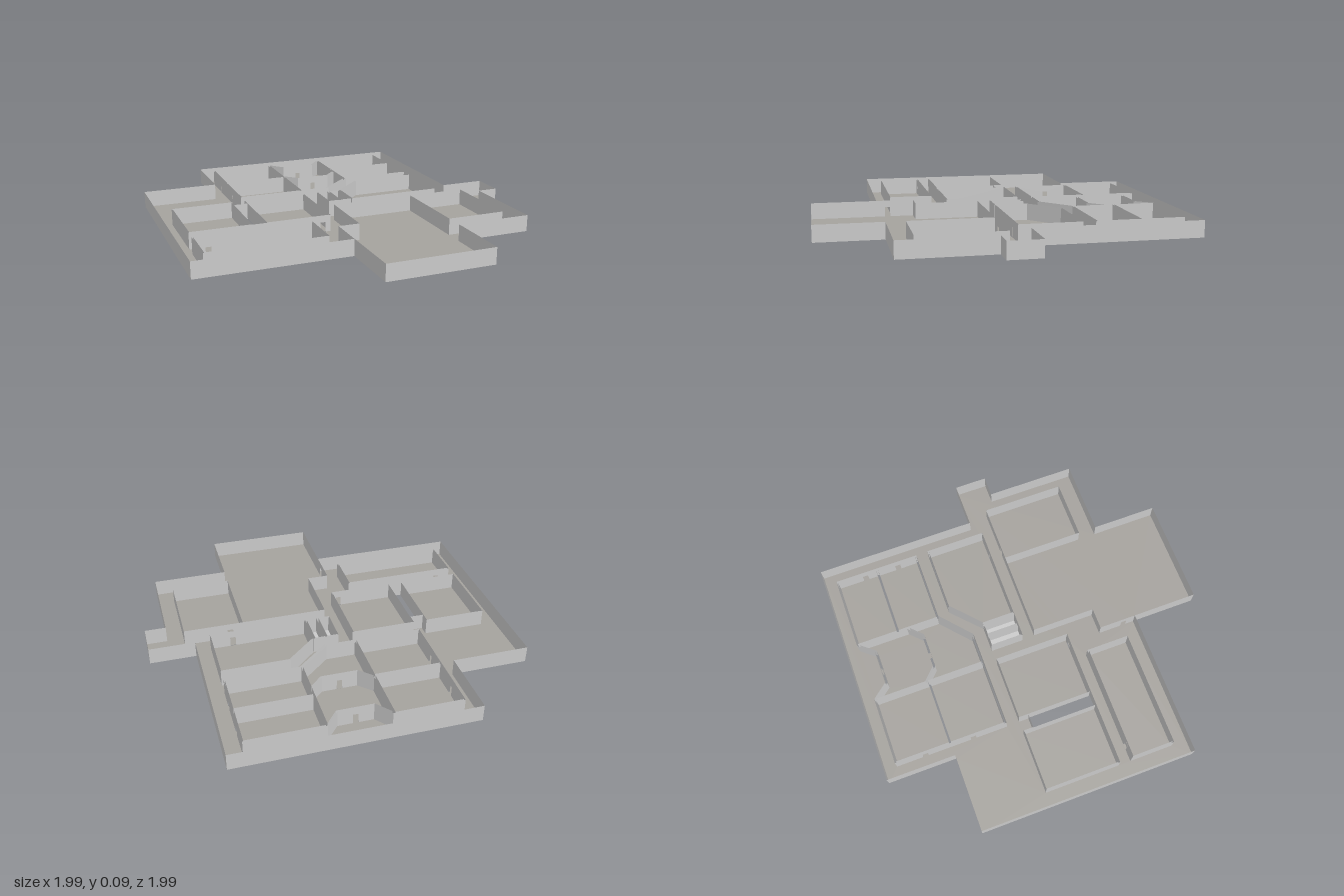
import * as THREE from 'three';
import { mergeGeometries } from 'three/addons/utils/BufferGeometryUtils.js';

const H = 0.093, DOOR_W = 0.032, DOOR_H = 0.055;

// Door centres [x, z, runs along z]
const DOORS = [
  [0.055, -0.838, 0], [0.055, -0.555, 0], [-0.489, -0.76, 1], [-0.489, -0.48, 1],
  [0.643, -0.76, 1], [0.643, -0.56, 1], [-0.83, 0.294, 0], [0.52, -0.025, 0],
  [0.52, 0.05, 0], [-0.17, 0.215, 0], [-0.157, 0.56, 1],
];

const rect = (x0, z0, x1, z1) => [[x0, z0], [x1, z0], [x1, z1], [x0, z1]];

// Outer edge of the whole floor plan
const OUTLINE = [
  [-0.565, -0.997], [0.737, -0.997], [0.737, -0.07], [0.992, -0.07], [0.992, 0.115],
  [0.875, 0.115], [0.875, 0.625], [0.447, 0.625], [0.447, 0.997], [-0.157, 0.997],
  [-0.157, 0.625], [-0.997, 0.625], [-0.997, -0.608], [-0.565, -0.608],
];

// Each block is a ring of outer wall faces with rooms inside; the gaps between are hollow walls
const BLOCKS = [
  {
    name: 'backRooms',
    outer: [[-0.493, -0.928], [-0.11, -0.928], [-0.04, -0.843], [0.152, -0.843], [0.224, -0.928],
      [0.646, -0.928], [0.646, -0.438], [0.238, -0.438], [0.06, -0.284], [-0.493, -0.284]],
    rooms: [
      rect(-0.486, -0.921, -0.122, -0.617), rect(-0.486, -0.606, -0.122, -0.294),
      rect(0.233, -0.921, 0.64, -0.69), rect(0.233, -0.678, 0.64, -0.447),
      [[-0.111, -0.912], [-0.045, -0.832], [0.157, -0.832], [0.223, -0.912],
        [0.223, -0.63], [0.152, -0.561], [-0.04, -0.561], [-0.111, -0.63]],
      [[-0.111, -0.614], [-0.045, -0.549], [0.157, -0.549], [0.223, -0.614],
        [0.223, -0.446], [0.052, -0.296], [-0.111, -0.296]],
    ],
  },
  {
    name: 'leftRooms',
    outer: [[-0.914, -0.211], [-0.567, -0.211], [-0.567, -0.155], [-0.491, -0.155],
      [-0.491, -0.211], [-0.126, -0.211], [-0.126, 0.218], [-0.914, 0.218]],
    rooms: [rect(-0.909, -0.208, -0.57, 0.212), rect(-0.488, -0.208, -0.132, 0.212)],
  },
  {
    name: 'longRoom',
    outer: rect(-0.914, 0.289, -0.257, 0.537),
    rooms: [rect(-0.907, 0.298, -0.265, 0.533)],
  },
  {
    name: 'cornerRoom',
    outer: [[0.27, -0.368], [0.648, -0.368], [0.648, -0.023], [0.103, -0.023], [0.103, -0.213]],
    rooms: [[[0.275, -0.36], [0.645, -0.36], [0.645, -0.027], [0.108, -0.027], [0.108, -0.209]]],
  },
  {
    name: 'shafts',
    outer: rect(-0.042, -0.212, 0.098, -0.022),
    rooms: [rect(-0.037, -0.207, 0.021, -0.027), rect(0.035, -0.207, 0.09, -0.027)],
    pale: true,
  },
];

export function createModel() {
  const group = new THREE.Group();
  const wallMat = new THREE.MeshStandardMaterial({ color: 0xcacaca, side: THREE.DoubleSide });
  wallMat.name = 'paleGreyWall';
  const floorMat = new THREE.MeshStandardMaterial({ color: 0xa5a29d, side: THREE.DoubleSide });
  floorMat.name = 'warmGreyFloor';

  const add = (name, geo, mat) => {
    const mesh = new THREE.Mesh(geo, mat);
    mesh.name = name;
    group.add(mesh);
  };

  // Flat floor from a plan polygon with optional holes
  const floor = (pts, holes = []) => {
    const to2 = (list) => list.map(([x, z]) => new THREE.Vector2(x, -z));
    const shape = new THREE.Shape(to2(pts));
    shape.holes = holes.map((h) => new THREE.Path(to2(h)));
    return new THREE.ShapeGeometry(shape).rotateX(-Math.PI / 2);
  };

  // One upright wall face between two plan points, with door openings cut out
  const wallFace = ([x0, z0], [x1, z1]) => {
    const len = Math.hypot(x1 - x0, z1 - z0);
    const dx = (x1 - x0) / len, dz = (z1 - z0) / len;
    const cuts = DOORS.map(([x, z]) => ({
      along: (x - x0) * dx + (z - z0) * dz,
      off: Math.abs((x - x0) * dz - (z - z0) * dx),
    })).filter((c) => c.off < 0.01 && c.along > DOOR_W && c.along < len - DOOR_W)
      .sort((a, b) => a.along - b.along);
    const s = new THREE.Shape();
    s.moveTo(0, 0);
    for (const { along } of cuts) {
      s.lineTo(along - DOOR_W / 2, 0);
      s.lineTo(along - DOOR_W / 2, DOOR_H);
      s.lineTo(along + DOOR_W / 2, DOOR_H);
      s.lineTo(along + DOOR_W / 2, 0);
    }
    s.lineTo(len, 0);
    s.lineTo(len, H);
    s.lineTo(0, H);
    return new THREE.ShapeGeometry(s).rotateY(-Math.atan2(dz, dx)).translate(x0, 0, z0);
  };

  const walls = (pts, closed = true) => {
    const faces = [];
    const n = closed ? pts.length : pts.length - 1;
    for (let i = 0; i < n; i++) faces.push(wallFace(pts[i], pts[(i + 1) % pts.length]));
    return mergeGeometries(faces);
  };

  // Main floor and perimeter
  add('mainFloor', floor(OUTLINE, BLOCKS.map((b) => b.outer)), floorMat);
  add('outerWall', walls(OUTLINE), wallMat);

  // Room blocks
  for (const b of BLOCKS) {
    add(b.name + 'Walls', mergeGeometries([b.outer, ...b.rooms].map((r) => walls(r))), wallMat);
    add(b.name + 'Floor', mergeGeometries(b.rooms.map((r) => floor(r))), b.pale ? wallMat : floorMat);
  }

  // Front hall and side room with single walls
  add('sideRoomWalls', walls(rect(0.447, 0.05, 0.782, 0.52)), wallMat);
  add('hallWall', walls([[0.447, 0.05], [-0.037, 0.05], [-0.037, 0.412], [-0.157, 0.412],
    [-0.157, 0.625]], false), wallMat);

  // Thresholds bridging the hollow walls at the doors
  const sills = DOORS.slice(0, 7).map(([x, z, alongZ]) => {
    const w = DOOR_W / 2, t = 0.006;
    return alongZ ? floor(rect(x - t, z - w, x + t, z + w)) : floor(rect(x - w, z - t, x + w, z + t));
  });
  add('doorSills', mergeGeometries(sills).translate(0, 0.0005, 0), floorMat);

  return group;
}
